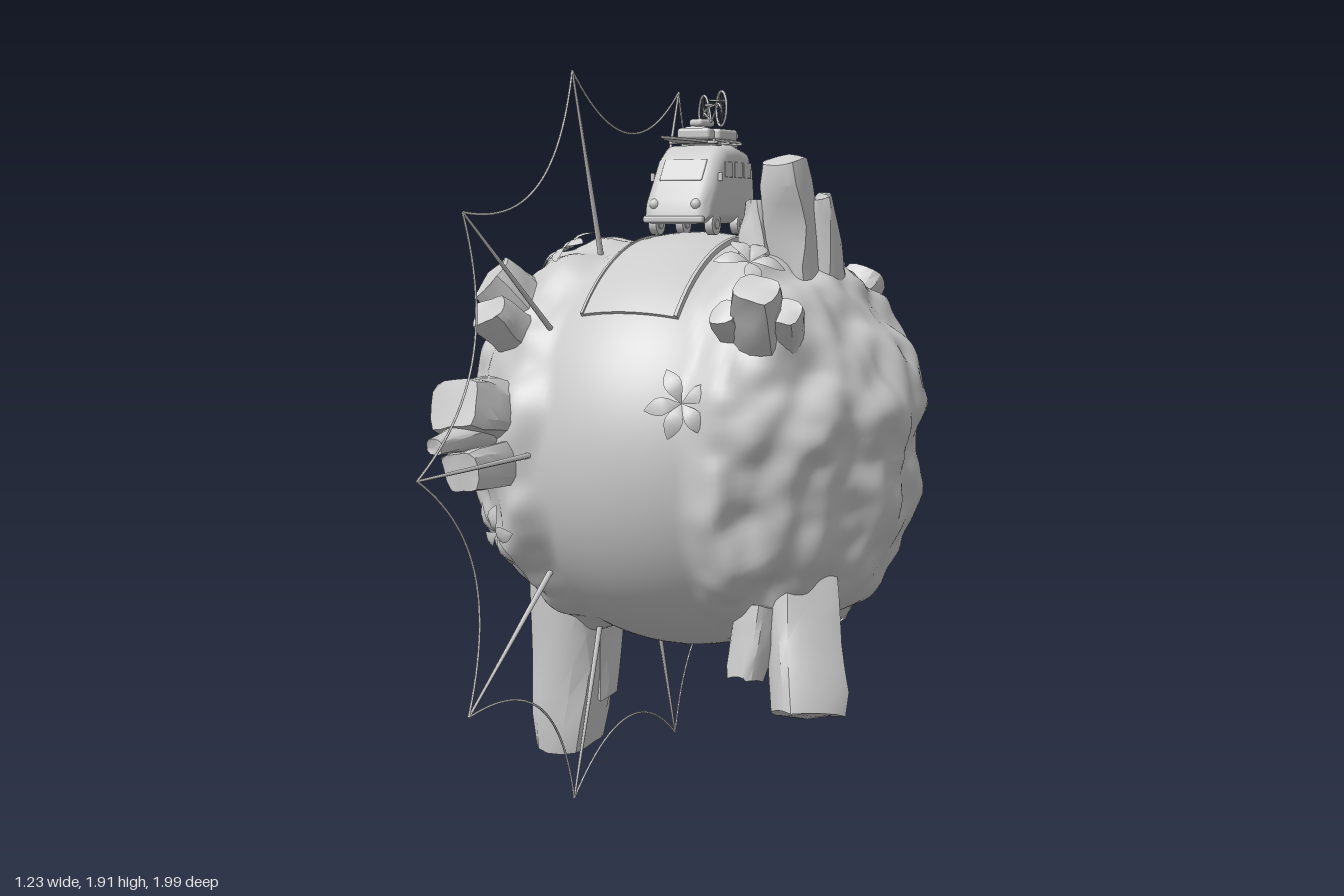
import * as THREE from 'three';
import { mergeVertices, toCreasedNormals } from 'three/addons/utils/BufferGeometryUtils.js';
import { RoundedBoxGeometry } from 'three/addons/geometries/RoundedBoxGeometry.js';

const V = (x, y, z) => new THREE.Vector3(x, y, z);
const C = V(0, 0.955, 0.013); // planet centre
const R = 0.547; // radius of the smooth belt
const UP = V(0, 1, 0);
const smooth = new THREE.MeshStandardMaterial({ color: 0xcccccc });
const thin = new THREE.MeshStandardMaterial({ color: 0xcccccc, side: THREE.DoubleSide });

function add(parent, name, geo, mat = smooth, x = 0, y = 0, z = 0) {
  const m = new THREE.Mesh(geo, mat);
  m.name = name;
  m.position.set(x, y, z);
  parent.add(m);
  return m;
}

function group(parent, name) {
  const g = new THREE.Group();
  g.name = name;
  parent.add(g);
  return g;
}

// thin bar between two points
function bar(parent, name, a, b, r0, r1 = r0, sides = 6) {
  const m = add(parent, name, new THREE.CylinderGeometry(r1, r0, a.distanceTo(b), sides));
  m.position.copy(a).lerp(b, 0.5);
  m.quaternion.setFromUnitVectors(UP, b.clone().sub(a).normalize());
}

// indexed geometry holding positions only, for displacing
function bare(geo) {
  geo.deleteAttribute('uv');
  geo.deleteAttribute('normal');
  return mergeVertices(geo, 1e-5);
}

// smooth value noise
const hash = (x, y, z) => {
  const s = Math.sin(x * 127.1 + y * 311.7 + z * 74.7) * 43758.5453;
  return s - Math.floor(s);
};
function noise(x, y, z) {
  const i = [x, y, z].map(Math.floor);
  const f = [x - i[0], y - i[1], z - i[2]].map(t => t * t * (3 - 2 * t));
  let sum = 0;
  for (let k = 0; k < 8; k++) {
    const o = [k & 1, (k >> 1) & 1, k >> 2];
    const w = o.reduce((p, b, j) => p * (b ? f[j] : 1 - f[j]), 1);
    sum += w * hash(i[0] + o[0], i[1] + o[1], i[2] + o[2]);
  }
  return sum;
}

// planet surface in a direction: smooth round belt, raised bumpy sides
function surface(d) {
  const edge = Math.abs(d.x) + 0.1 * (noise(d.x * 3 + 5, d.y * 4 + 5, d.z * 4 + 5) - 0.5);
  const m = THREE.MathUtils.smoothstep(edge, 0.31, 0.48);
  const n = 0.7 * noise(d.x * 5 + 9, d.y * 5 + 9, d.z * 5 + 9) + 0.3 * noise(d.x * 10 + 30, d.y * 10, d.z * 10);
  const p = d.clone().multiplyScalar(R + m * (0.051 + 0.09 * (n - 0.5)));
  const rho = Math.hypot(p.y, p.z), limit = R + 0.07 * m * (n - 0.45);
  if (rho > limit) { p.y *= limit / rho; p.z *= limit / rho; }
  return p.add(C);
}

function makePlanet(root) {
  const geo = bare(new THREE.SphereGeometry(1, 180, 120).rotateZ(Math.PI / 2));
  const p = geo.attributes.position;
  for (let i = 0; i < p.count; i++) {
    const s = surface(V(0, 0, 0).fromBufferAttribute(p, i).normalize());
    p.setXYZ(i, s.x, s.y, s.z);
  }
  geo.computeVertexNormals();
  add(root, 'planet', geo);
}

// strip lying on the belt
function strip(root, name, x0, width, height) {
  const geo = new THREE.BoxGeometry(width, 1, height, 8, 40, 1);
  const p = geo.attributes.position;
  for (let i = 0; i < p.count; i++) {
    const x = x0 + p.getX(i), a = 0.1 - p.getY(i) * 1.5;
    const r = Math.sqrt(R * R - x * x) + 0.001 + p.getZ(i);
    p.setXYZ(i, x, C.y + r * Math.cos(a), C.z + r * Math.sin(a));
  }
  geo.computeVertexNormals();
  add(root, name, geo);
}

// worn block from base to tip
function rock(parent, a, b, w, d, taper, seed) {
  const A = V(...a), B = V(...b), len = A.distanceTo(B);
  const geo = bare(new THREE.BoxGeometry(1, 1, 1, 4, 6, 4));
  const p = geo.attributes.position;
  for (let i = 0; i < p.count; i++) {
    const x = p.getX(i), y = p.getY(i), z = p.getZ(i);
    const corner = 1 - 0.14 * Math.pow(16 * x * x * z * z, 2);
    const k = corner * THREE.MathUtils.lerp(1, taper, y + 0.5) * (y > 0.49 ? 1 - 0.2 * (x * x + z * z) : 1);
    const wob = s => 0.24 * (noise(x * 1.5 + seed * 7, y * 2.5 + s, z * 1.5 + 20) - 0.5);
    p.setXYZ(i, w * (x * k + wob(3)), len * (y + 0.4 * wob(11)), d * (z * k + wob(17)));
  }
  const m = add(parent, 'rock', toCreasedNormals(geo, 0.5));
  m.position.copy(A).lerp(B, 0.5);
  m.quaternion.setFromUnitVectors(UP, B.sub(A).normalize());
}

// clusters: [base, tip, width, depth, taper]
const clusters = {
  lowerRightRocks: [[[-0.33, 0.6, 0.1], [-0.365, 0.09, 0.1], 0.2, 0.23, 0.75], [[-0.27, 0.55, 0.08], [-0.27, 0.23, 0.08], 0.1, 0.14, 0.75]],
  lowerLeftRocks: [[[0.38, 0.65, 0.22], [0.43, 0.34, 0.33], 0.16, 0.15, 1.1], [[0.3, 0.6, 0.31], [0.29, 0.42, 0.36], 0.1, 0.1, 0.8]],
  topSpires: [[[0.29, 1.38, 0.06], [0.285, 1.69, 0.11], 0.14, 0.17, 0.6], [[0.22, 1.4, 0.13], [0.21, 1.59, 0.14], 0.09, 0.09, 0.5], [[0.35, 1.36, 0.0], [0.36, 1.6, 0.05], 0.1, 0.12, 0.4]],
  frontLeftRocks: [[[0.32, 1.22, 0.35], [0.37, 1.39, 0.5], 0.11, 0.11, 0.85], [[0.37, 1.22, 0.3], [0.41, 1.33, 0.42], 0.08, 0.09, 0.85], [[0.29, 1.24, 0.36], [0.28, 1.33, 0.48], 0.07, 0.07, 0.85]],
  frontRightRocks: [[[-0.3, 1.24, 0.26], [-0.42, 1.4, 0.37], 0.12, 0.14, 0.95], [[-0.31, 1.22, 0.36], [-0.36, 1.32, 0.48], 0.11, 0.1, 0.9]],
  frontRightLowRocks: [[[-0.33, 1.04, 0.42], [-0.37, 1.1, 0.62], 0.17, 0.16, 0.9], [[-0.3, 0.95, 0.42], [-0.33, 0.94, 0.66], 0.12, 0.12, 0.9], [[-0.35, 1.02, 0.5], [-0.35, 1.01, 0.74], 0.08, 0.06, 0.7]],
  backLeftRocks: [[[0.24, 1.2, -0.33], [0.31, 1.38, -0.45], 0.11, 0.11, 1], [[0.3, 1.2, -0.31], [0.36, 1.3, -0.41], 0.1, 0.1, 0.95]],
  backRightRocks: [[[-0.33, 1.02, -0.42], [-0.39, 1.1, -0.59], 0.11, 0.11, 0.9], [[-0.27, 1.03, -0.42], [-0.25, 1.05, -0.53], 0.1, 0.08, 0.95], [[-0.36, 1.0, -0.4], [-0.4, 1.02, -0.53], 0.08, 0.09, 0.9]],
};

// five low arching leaves spread on the ground
function plant(root, dir, spin) {
  const d = V(...dir).normalize(), g = group(root, 'plant');
  g.position.copy(surface(d)).addScaledVector(d, 0.004);
  g.quaternion.setFromUnitVectors(UP, d);
  for (let k = 0; k < 5; k++) {
    const geo = new THREE.PlaneGeometry(1, 1, 2, 6).rotateX(-Math.PI / 2);
    const p = geo.attributes.position;
    for (let i = 0; i < p.count; i++) {
      const t = p.getZ(i) + 0.5, s = p.getX(i) * 2;
      const w = 0.021 * Math.sin(Math.PI * Math.pow(t, 1.2)) + 0.001;
      p.setXYZ(i, s * w, 0.008 + 0.018 * Math.sin(t * 3.4) - Math.abs(s) * w * 0.25, t * 0.09);
    }
    geo.computeVertexNormals();
    add(g, 'leaf', geo, thin).rotation.y = spin + k * Math.PI * 0.4 + 0.25 * Math.sin(k * 5 + spin);
  }
}

// ring of tapered poles with wires sagging inward
function makeRing(root) {
  const g = group(root, 'wireRing');
  const at = (deg, r) => V(-0.22, 0.96 + r * Math.sin(deg * Math.PI / 180), r * Math.cos(deg * Math.PI / 180));
  for (let k = 0; k < 10; k++) {
    const a = 1 + 36 * k;
    bar(g, 'pole', at(a, 0.48), at(a, 0.995), 0.008, 0.003);
    const sag = new THREE.QuadraticBezierCurve3(at(a, 0.995), at(a + 18, 0.675), at(a + 36, 0.995));
    add(g, 'wire', new THREE.TubeGeometry(sag, 24, 0.003, 5));
  }
}

function makeVan(root) {
  const g = group(root, 'van');
  // body: side outline swept across the width
  const pts = [[-0.15, 1.53], [-0.167, 1.6], [-0.155, 1.68], [-0.12, 1.722], [-0.04, 1.737], [0.04, 1.732], [0.085, 1.7], [0.125, 1.64], [0.16, 1.59], [0.168, 1.53]];
  const side = new THREE.Shape(pts.map(([z, y]) => new THREE.Vector2(z, y)));
  const body = new THREE.ExtrudeGeometry(side, { depth: 0.112, bevelSize: 0.038, bevelThickness: 0.038, bevelOffset: -0.038, bevelSegments: 6 });
  add(g, 'body', toCreasedNormals(body.translate(0, 0, -0.056).rotateY(-Math.PI / 2), 0.6));
  add(g, 'windshield', new RoundedBoxGeometry(0.12, 0.065, 0.008, 2, 0.003), smooth, 0, 1.667, 0.106).rotation.x = -0.58;
  add(g, 'rearWindow', new RoundedBoxGeometry(0.1, 0.05, 0.008, 2, 0.003), smooth, 0, 1.655, -0.158).rotation.x = 0.15;
  for (const z of [0.165, -0.163]) add(g, 'bumper', new RoundedBoxGeometry(0.17, 0.018, 0.018, 2, 0.006), smooth, 0, 1.542, z);
  for (const s of [-1, 1]) {
    for (const z of [-0.09, -0.03, 0.03]) add(g, 'sideWindow', new RoundedBoxGeometry(0.006, 0.04, 0.05, 2, 0.002), smooth, s * 0.093, 1.67, z);
    for (const z of [-0.06, 0.1]) {
      add(g, 'wheel', new THREE.CylinderGeometry(0.028, 0.028, 0.022, 20).rotateZ(Math.PI / 2), smooth, s * 0.08, 1.53, z);
      add(g, 'hub', new THREE.CylinderGeometry(0.013, 0.013, 0.027, 12).rotateZ(Math.PI / 2), smooth, s * 0.08, 1.53, z);
    }
    add(g, 'headlight', new THREE.SphereGeometry(0.015, 12, 8), smooth, s * 0.058, 1.58, 0.153);
    add(g, 'mirror', new RoundedBoxGeometry(0.012, 0.022, 0.008, 2, 0.003), smooth, s * 0.097, 1.65, 0.09);
    bar(g, 'roofRail', V(s * 0.06, 1.745, -0.12), V(s * 0.06, 1.745, 0.05), 0.004);
  }
  for (const z of [-0.11, -0.03, 0.045]) bar(g, 'rackBar', V(-0.07, 1.74, z), V(0.07, 1.74, z), 0.004);
  // pointed board lying along the roof
  const board = new THREE.Shape();
  board.moveTo(0, 0.235);
  board.quadraticCurveTo(0.05, 0.09, 0.045, -0.05);
  board.quadraticCurveTo(0.045, -0.16, 0.02, -0.19);
  board.lineTo(-0.02, -0.19);
  board.quadraticCurveTo(-0.045, -0.16, -0.045, -0.05);
  board.quadraticCurveTo(-0.05, 0.09, 0, 0.235);
  add(g, 'board', new THREE.ExtrudeGeometry(board, { depth: 0.007, bevelEnabled: false }).rotateX(Math.PI / 2), smooth, 0, 1.744, 0).rotation.x = -0.02;
  // luggage
  for (const [x, y, z, w, h, d, r] of [[-0.035, 1.766, -0.06, 0.06, 0.04, 0.08, 0.2], [0.035, 1.762, -0.05, 0.05, 0.03, 0.1, -0.1], [0, 1.762, 0.03, 0.09, 0.03, 0.05, 0.15], [-0.02, 1.795, -0.05, 0.045, 0.02, 0.06, -0.3]])
    add(g, 'luggage', new RoundedBoxGeometry(w, h, d, 3, 0.009), smooth, x, y, z).rotation.y = r;
  add(g, 'bedroll', new THREE.CapsuleGeometry(0.014, 0.08, 4, 10).rotateZ(Math.PI / 2), smooth, 0, 1.762, -0.12);
  // bicycle standing diagonally, built along its own x
  const bike = group(g, 'bicycle');
  bike.position.set(0.015, 1.826, -0.04);
  bike.rotation.y = -0.85;
  for (const x of [-0.08, 0.08]) {
    add(bike, 'bikeTyre', new THREE.TorusGeometry(0.044, 0.0035, 6, 28), smooth, x, 0, 0);
    for (let k = 0; k < 6; k++) {
      const c = Math.cos(k * Math.PI / 6) * 0.044, s = Math.sin(k * Math.PI / 6) * 0.044;
      bar(bike, 'spoke', V(x - c, -s, 0), V(x + c, s, 0), 0.001, 0.001, 4);
    }
  }
  const seat = V(-0.03, 0.01, 0), crank = V(-0.01, -0.028, 0), head = V(0.055, 0.015, 0), rear = V(-0.08, 0, 0), front = V(0.08, 0, 0);
  for (const [a, b] of [[seat, crank], [crank, head], [seat, head], [rear, seat], [rear, crank], [head, front]]) bar(bike, 'bikeFrame', a, b, 0.003);
  bar(bike, 'handlebar', V(0.053, 0.022, -0.025), V(0.053, 0.022, 0.025), 0.003);
  add(bike, 'saddle', new RoundedBoxGeometry(0.03, 0.008, 0.014, 2, 0.003), smooth, -0.031, 0.016, 0);
}

export function createModel() {
  const root = new THREE.Group();
  root.name = 'smallPlanet';
  makePlanet(root);
  strip(root, 'road', 0, 0.25, 0.014);
  for (const s of [-1, 1]) strip(root, 'kerb', s * 0.128, 0.008, 0.024);
  let seed = 1;
  for (const [name, list] of Object.entries(clusters)) {
    const g = group(root, name);
    for (const r of list) rock(g, ...r, seed++);
  }
  // plant directions from the planet centre
  [[0.2, 0.17, 0.53], [-0.31, -0.18, 0.46], [0.25, 0.46, 0.26], [-0.35, 0.45, -0.1], [-0.28, 0.48, 0.17], [-0.3, 0.34, -0.38],
    [0.27, 0.43, -0.28], [0.45, -0.22, -0.33], [0.28, -0.46, -0.17], [-0.26, -0.4, -0.33]].forEach((d, i) => plant(root, d, i * 0.9));
  makeRing(root);
  makeVan(root);
  return root;
}
